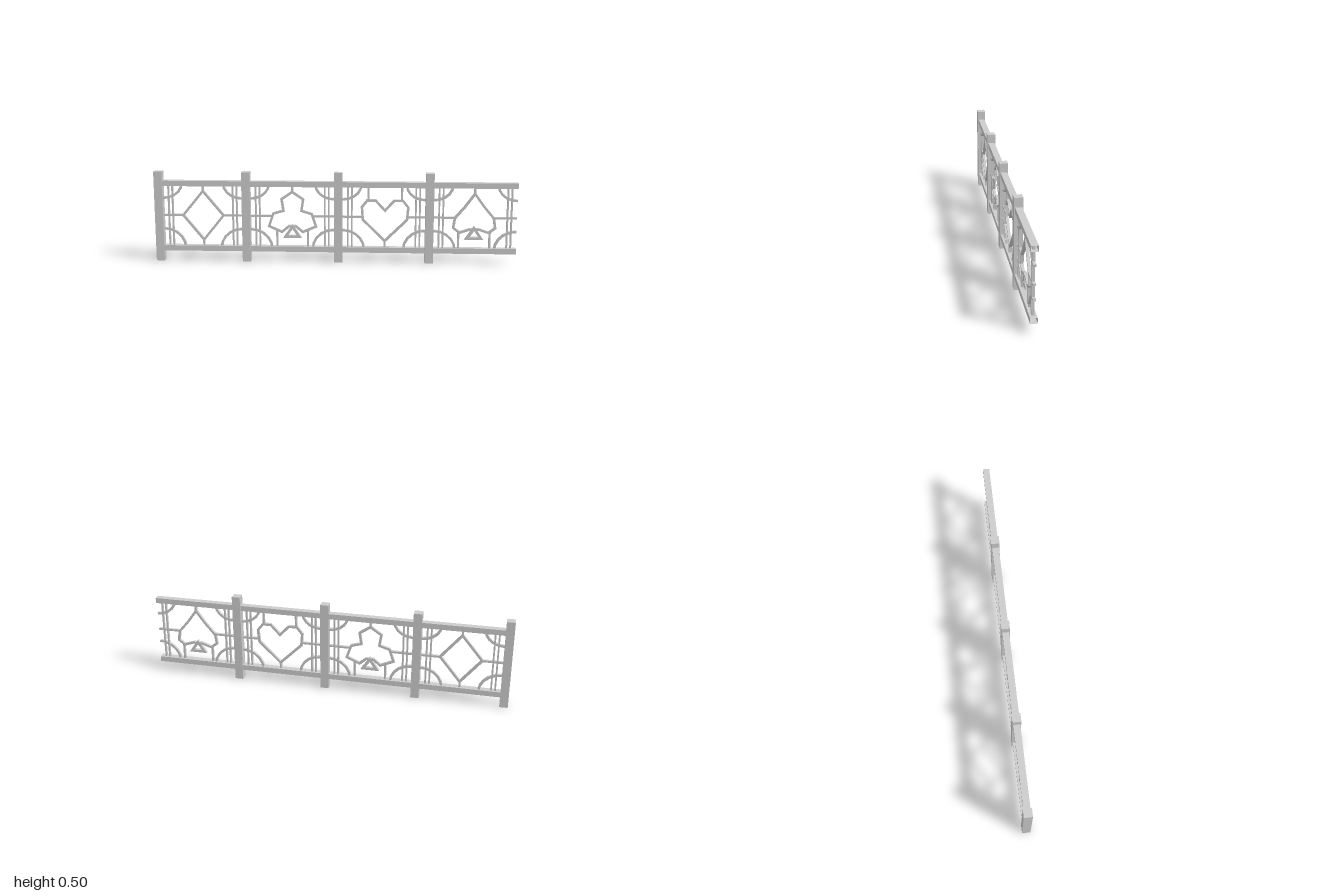
import * as THREE from 'three';

const material = new THREE.MeshStandardMaterial({ color: 0xcccccc, flatShading: true, side: THREE.DoubleSide });
const MID_Y = 0.258, LOW = 0.072, HIGH = 0.438; // panel middle and rail centre heights

function add(parent, name, geometry, x = 0, y = 0) {
  const mesh = new THREE.Mesh(geometry, material);
  mesh.name = name;
  mesh.position.set(x, y, 0);
  parent.add(mesh);
  return mesh;
}

// Box without the listed faces (order: +x, -x, +y, -y, +z, -z)
function openBox(w, h, d, skip) {
  const geometry = new THREE.BoxGeometry(w, h, d);
  const index = Array.from(geometry.index.array);
  geometry.setIndex(index.filter((_, i) => !skip.includes(Math.floor(i / 6))));
  geometry.clearGroups();
  return geometry;
}

// Mitred flat bar of even width that follows a polyline
function bar(points, closed = false, width = 0.013, depth = 0.015) {
  const p = points.map(([x, y]) => new THREE.Vector2(x, y));
  const n = p.length;
  const side = (s) => p.map((v, i) => {
    const prev = p[closed ? (i + n - 1) % n : Math.max(i - 1, 0)];
    const next = p[closed ? (i + 1) % n : Math.min(i + 1, n - 1)];
    let a = v.clone().sub(prev).normalize();
    let b = next.clone().sub(v).normalize();
    if (a.lengthSq() === 0) a = b;
    if (b.lengthSq() === 0) b = a;
    const na = new THREE.Vector2(-a.y, a.x), nb = new THREE.Vector2(-b.y, b.x);
    const m = na.clone().add(nb).normalize();
    return v.clone().addScaledVector(m, s * width / 2 / Math.max(m.dot(na), 0.4));
  });
  let shape;
  if (closed) {
    const cw = THREE.ShapeUtils.area(p) < 0 ? 1 : -1;
    shape = new THREE.Shape(side(cw));
    shape.holes.push(new THREE.Path(side(-cw)));
  } else {
    shape = new THREE.Shape([...side(1), ...side(-1).reverse()]);
  }
  const geometry = new THREE.ExtrudeGeometry(shape, { depth, bevelEnabled: false });
  return geometry.translate(0, 0, -depth / 2);
}

// Mirror a half outline (top to bottom) into a whole closed one
function mirrored(half) {
  const left = half.filter(([x]) => x > 0).map(([x, y]) => [-x, y]).reverse();
  return [...half, ...left];
}

const stem = [[0, 0.198], [0.038, 0.142], [-0.038, 0.142]];

// Motifs: right half of the outline, side reach, and upright struts [x, from, to]
const motifs = [
  {
    name: 'diamond', x: -0.733, half: [[0, 0.395], [0.113, MID_Y], [0, 0.119]], reach: 0.113,
    struts: [[0, 0.395, HIGH], [0, LOW, 0.119]],
  },
  {
    name: 'club', x: -0.235, stem, reach: 0.108,
    half: [[0, 0.394], [0.06, 0.353], [0.05, 0.288], [0.107, 0.271], [0.131, 0.2], [0.058, 0.168], [0.02, 0.2]],
    struts: [[0, 0.394, HIGH], [0.086, LOW, 0.18], [-0.086, LOW, 0.18]],
  },
  {
    name: 'heart', x: 0.278, reach: 0.125,
    half: [[0, 0.294], [0.052, 0.35], [0.098, 0.35], [0.128, 0.312], [0.122, 0.242], [0, 0.122]],
    struts: [[0.093, 0.35, HIGH], [-0.093, 0.35, HIGH], [0, LOW, 0.122]],
  },
  {
    name: 'spade', x: 0.77, stem, reach: 0.105,
    half: [[0, 0.392], [0.052, 0.32], [0.107, 0.255], [0.115, 0.2], [0.08, 0.174], [0.026, 0.192]],
    struts: [[0, 0.392, HIGH], [0.086, LOW, 0.178], [-0.086, LOW, 0.178]],
  },
];

// Quarter arc around a panel corner
function cornerArc(cx, cy, rx, ry) {
  const points = [];
  for (let i = 0; i <= 5; i++) {
    const t = (i / 5) * Math.PI / 2;
    points.push([cx + rx * Math.cos(t), cy + ry * Math.sin(t)]);
  }
  return bar(points);
}

function createPanel(motif, x0, x1) {
  const panel = new THREE.Group();
  panel.name = motif.name + 'Panel';
  add(panel, motif.name + 'Outline', bar(mirrored(motif.half), true), motif.x);
  if (motif.stem) add(panel, motif.name + 'Stem', bar(motif.stem, true, 0.015, 0.018), motif.x);
  for (const [x, a, b] of motif.struts) add(panel, 'upright', bar([[x, a], [x, b]], false, 0.011), motif.x);

  for (const [edge, s] of [[x0, 1], [x1, -1]]) {
    // Pair of slim balusters beside the post
    for (const off of [0.03, 0.052]) {
      add(panel, 'baluster', new THREE.BoxGeometry(0.009, 0.375, 0.014), edge + s * off, 0.2625);
    }
    // Middle link and corner arcs
    add(panel, 'sideLink', bar([[edge, MID_Y], [motif.x - s * motif.reach, MID_Y]], false, 0.011));
    add(panel, 'upperArc', cornerArc(edge, HIGH, s * 0.104, -0.083));
    add(panel, 'lowerArc', cornerArc(edge, LOW, s * 0.12, 0.11));
  }
  return panel;
}

export function createModel() {
  const fence = new THREE.Group();
  fence.name = 'fence';

  // Square posts, open underneath
  const posts = [-0.979, -0.492, 0.02, 0.523];
  for (const x of posts) add(fence, 'post', openBox(0.046, 0.505, 0.046, [3]), x, 0.2525);

  // Hollow rails, open at the ends
  const start = -0.97, end = 1.002;
  for (const [name, y] of [['lowerRail', LOW], ['upperRail', HIGH + 0.001]]) {
    add(fence, name, openBox(end - start, 0.03, 0.036, [0, 1]), (start + end) / 2, y);
  }

  // Four panels between the posts
  motifs.forEach((motif, i) => {
    const right = i < 3 ? posts[i + 1] - 0.023 : end;
    fence.add(createPanel(motif, posts[i] + 0.023, right));
  });

  // The whole run stands slightly turned
  fence.rotation.y = -0.0967;
  fence.position.z = 0.003;
  const model = new THREE.Group();
  model.name = 'model';
  model.add(fence);
  return model;
}
